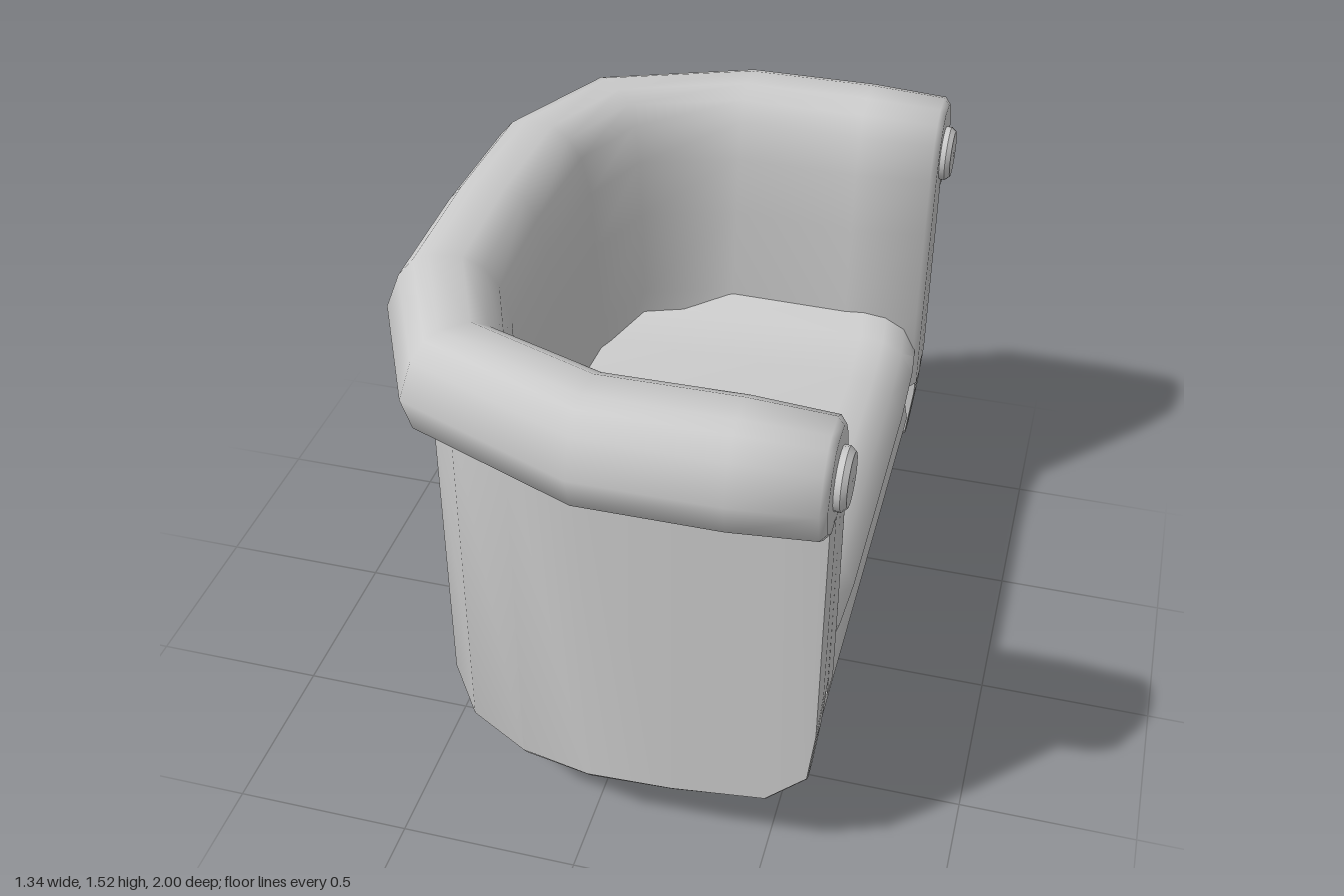
import * as THREE from 'three';
import { mergeVertices, toCreasedNormals } from 'three/addons/utils/BufferGeometryUtils.js';

const material = new THREE.MeshStandardMaterial({ color: 0xcccccc });

function add(group, name, geometry) {
  const mesh = new THREE.Mesh(geometry, material);
  mesh.name = name;
  group.add(mesh);
  return mesh;
}

// Closed loft through rings of [x, y, z]; end caps are triangulated in the plane of the two given axes.
function loft(rings, u, v, crease) {
  const n = rings[0].length, pos = rings.flat(2), index = [];
  for (let i = 0; i < rings.length - 1; i++) {
    for (let j = 0; j < n; j++) {
      const a = i * n + j, b = i * n + (j + 1) % n;
      index.push(a, b, b + n, a, b + n, a + n);
    }
  }
  for (const end of [0, rings.length - 1]) {
    const flat = rings[end].map(p => new THREE.Vector2(p[u], p[v]));
    const sign = THREE.ShapeUtils.area(flat);
    for (const [a, b, c] of THREE.ShapeUtils.triangulateShape(flat.slice(), [])) {
      const same = THREE.ShapeUtils.area([flat[a], flat[b], flat[c]]) * sign > 0;
      const o = end * n;
      if (same === (end > 0)) index.push(o + a, o + b, o + c);
      else index.push(o + a, o + c, o + b);
    }
  }
  // Turn the faces outward if the enclosed volume comes out negative
  const P = i => new THREE.Vector3().fromArray(pos, i * 3);
  let volume = 0;
  for (let i = 0; i < index.length; i += 3) volume += P(index[i]).dot(P(index[i + 1]).cross(P(index[i + 2])));
  if (volume < 0) index.reverse();
  const geo = new THREE.BufferGeometry();
  geo.setAttribute('position', new THREE.Float32BufferAttribute(pos, 3));
  geo.setIndex(index);
  return toCreasedNormals(mergeVertices(geo), crease);
}

// Half a U-shaped run, from the +z arm to the middle of the back, completed by mirroring
function mirrored(half) {
  const flip = half.slice(0, -1).reverse().map(ring => ring.map(([x, y, z]) => [x, y, -z]));
  return [...half, ...flip];
}

const mix = THREE.MathUtils.lerp;

export function createModel() {
  const chair = new THREE.Group();
  chair.name = 'tubArmchair';

  // Padded inner wall and rolled rim: [inner x, inner z, outer x, outer z, roll scale]
  const rimStations = [
    [0.637, 0.69, 0.637, 0.96, 0.82],
    [0.62, 0.665, 0.62, 0.98, 0.94],
    [0.4, 0.645, 0.4, 1.0, 1],
    [0.04, 0.65, 0.02, 1.0, 1],
    [-0.23, 0.56, -0.47, 0.8, 1],
    [-0.31, 0.35, -0.66, 0.41, 1],
    [-0.325, 0, -0.67, 0, 1],
  ];
  const rimSection = [
    [0.0, 0.6], [0.0, 0.88], [0.03, 1.15], [0.06, 1.33], [0.14, 1.44], [0.25, 1.495], [0.4, 1.525],
    [0.65, 1.525], [0.77, 1.51], [0.89, 1.46], [1.0, 1.36], [0.92, 1.265], [0.72, 1.215],
    [0.5, 1.22], [0.3, 1.22], [0.28, 0.6],
  ];
  const rim = rimStations.map(([ix, iz, ox, oz, k]) => rimSection.map(([s, y]) => [
    mix(ix, ox, s), y > 1.2 ? 1.365 + (y - 1.365) * k : y, mix(iz, oz, s),
  ]));
  add(chair, 'rolledRimAndInnerWall', loft(mirrored(rim), 2, 1, 1.0));

  // Outer shell: [outer x, outer z, inner x, inner z, bottom y]
  const shellStations = [
    [0.637, 0.825, 0.637, 0.77, 0.64],
    [0.627, 0.845, 0.627, 0.75, 0.5],
    [0.61, 0.847, 0.61, 0.75, 0.34],
    [0.5, 0.85, 0.5, 0.755, 0.235],
    [0.24, 0.85, 0.24, 0.765, 0.2],
    [0, 0.85, 0.01, 0.775, 0.19],
    [-0.2, 0.81, -0.18, 0.75, 0.19],
    [-0.38, 0.71, -0.34, 0.66, 0.19],
    [-0.5, 0.54, -0.45, 0.51, 0.19],
    [-0.56, 0.3, -0.51, 0.28, 0.19],
    [-0.572, 0, -0.522, 0, 0.19],
  ];
  const shellSection = [[0, 0.02], [0.2, 0], [0.8, 0], [1, 0.02], [1, null], [0, null]];
  const shell = shellStations.map(([ox, oz, ix, iz, bottom]) => shellSection.map(([s, dy]) => [
    mix(ix, ox, s), dy === null ? 1.28 : bottom + dy, mix(iz, oz, s),
  ]));
  add(chair, 'outerShell', loft(mirrored(shell), 2, 1, 0.6));

  // Seat cushion: [z, top y, bottom y, back x, front x], with a rounded front edge
  const seatHalf = [
    [0.75, 0.74, 0.62, -0.05, 0.6],
    [0.7, 0.88, 0.585, -0.15, 0.62],
    [0.645, 0.86, 0.57, -0.25, 0.628],
    [0.6, 0.81, 0.56, -0.32, 0.632],
    [0.4, 0.79, 0.52, -0.42, 0.635],
    [0, 0.79, 0.52, -0.45, 0.635],
  ];
  const seatSection = [
    [-0.17, 1], [-0.1, 0.95], [-0.04, 0.82], [0, 0.55], [-0.02, 0.28], [-0.07, 0.08], [-0.14, 0],
  ];
  const seat = seatHalf.map(([z, top, bottom, back, front]) => [
    [back, bottom, z], [back, top, z],
    ...seatSection.map(([dx, t]) => [front + dx, mix(bottom, top, t), z]),
  ]);
  add(chair, 'seatCushion', loft(mirrored(seat), 0, 1, 0.9));

  // Padded base under the seat, rounded at the front
  const baseProfile = [
    [-0.25, 0.27], [0.5, 0.27], [0.56, 0.29], [0.6, 0.35], [0.615, 0.43],
    [0.6, 0.51], [0.56, 0.57], [0.5, 0.595], [-0.25, 0.595],
  ];
  const base = [-0.75, -0.725, 0.725, 0.75].map(z => {
    const k = Math.abs(z) > 0.74 ? 0.93 : 1;
    return baseProfile.map(([x, y]) => [0.2 + (x - 0.2) * (k + 1) / 2, 0.433 + (y - 0.433) * k, z]);
  });
  add(chair, 'seatBase', loft(base, 0, 1, 0.7));

  for (const side of [1, -1]) {
    const label = side > 0 ? 'left' : 'right';

    // Round button on the end of the arm roll
    const profile = [[0.08, -0.02], [0.08, 0.02], [0.068, 0.034], [0, 0.036]]
      .map(([r, y]) => new THREE.Vector2(r, y));
    const button = add(chair, label + 'ArmButton', toCreasedNormals(new THREE.LatheGeometry(profile, 20), 0.6));
    button.rotation.z = -Math.PI / 2;
    button.position.set(0.633, 1.36, side * 0.82);

    // Tapered legs
    for (const [end, x] of [['Front', 0.393], ['Rear', -0.24]]) {
      const leg = add(chair, label + end + 'Leg', new THREE.CylinderGeometry(0.062, 0.038, 0.28, 14));
      leg.position.set(x, 0.14, side * 0.527);
    }
  }
  return chair;
}
